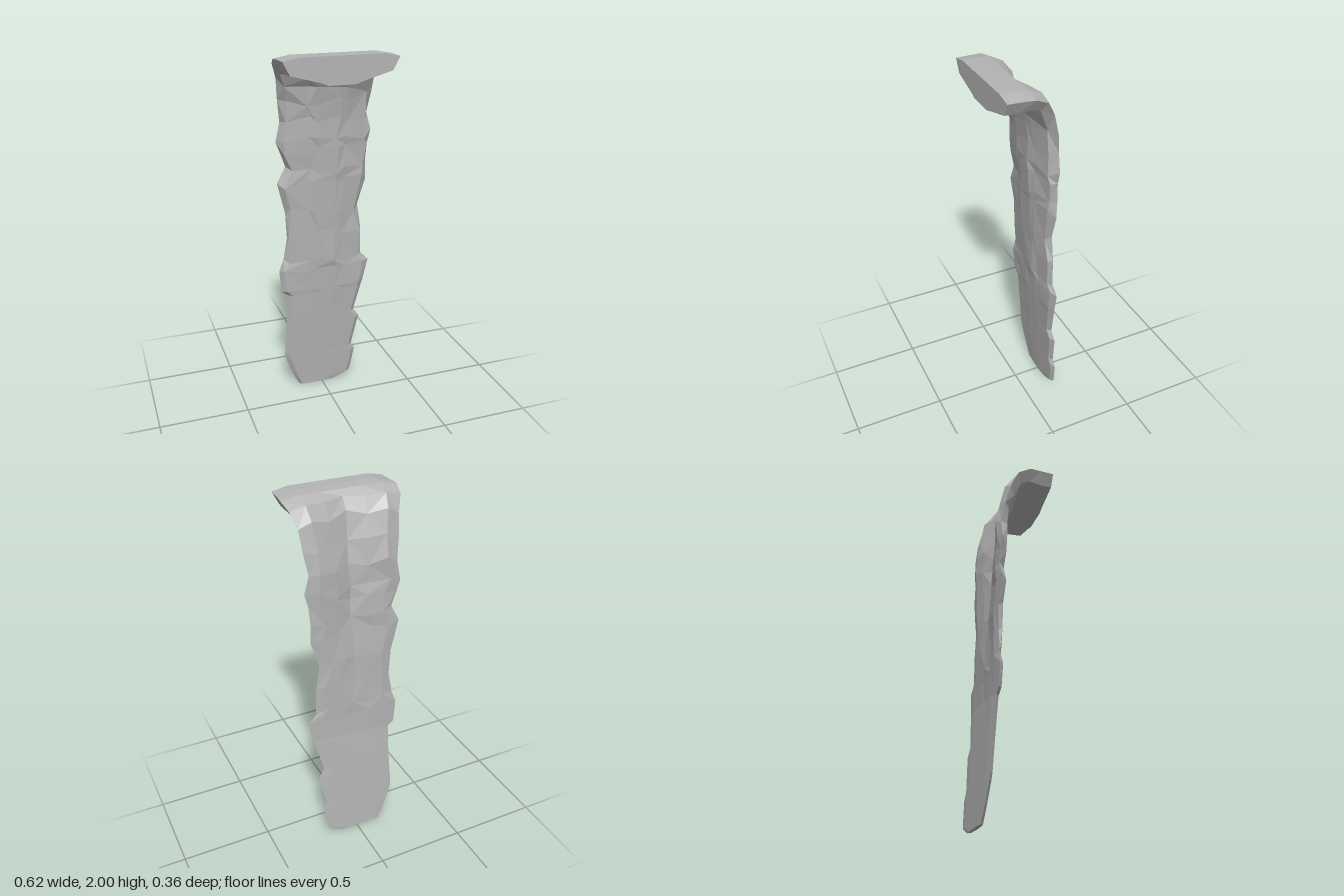
import * as THREE from 'three';

const { lerp, smoothstep, mapLinear } = THREE.MathUtils;

// Bend, from the cut end to the top of the drop: [frontY, frontZ, backY, backZ, halfWidth]
const BEND = [
  [1.86, 0.18, 2.0, 0.18, 0.298],
  [1.855, 0.12, 2.0, 0.1, 0.302],
  [1.87, 0.05, 1.995, 0.04, 0.308],
  [1.86, 0.015, 1.965, -0.03, 0.295],
  [1.81, -0.01, 1.89, -0.075, 0.272],
  [1.74, -0.025, 1.77, -0.105, 0.258],
];

// Ragged outline of the drop: [y, leftEdgeX, rightEdgeX]
const DROP = [
  [1.65, -0.245, 0.25], [1.54, -0.27, 0.255], [1.48, -0.245, 0.25],
  [1.37, -0.225, 0.23], [1.3, -0.257, 0.23], [1.13, -0.22, 0.19],
  [1.0, -0.225, 0.225], [0.85, -0.232, 0.225], [0.79, -0.268, 0.267],
  [0.66, -0.25, 0.24], [0.63, -0.215, 0.23], [0.47, -0.218, 0.19],
  [0.42, -0.22, 0.225], [0.23, -0.23, 0.185], [0.19, -0.222, 0.207],
  [0.09, -0.185, 0.19], [0.035, -0.16, 0.175], [0.0, -0.14, 0.09],
];

// Around one section: [side fraction, front 0 to back 1, groove share]
const SECTION = [
  [-1, 0.88, 0], [-0.88, 0.4, 0], [-0.4, 0.13, 0], [-0.24, 0, 0],
  [0.24, 0, 0], [0.42, 0.13, 0], [0.88, 0.4, 0], [1, 0.88, 0],
  [0.72, 1, 0], [0.36, 1, 0.35], [0, 1, 1], [-0.36, 1, 0.4], [-0.72, 1, 0],
];

function seeded(seed) {
  return () => {
    seed = (seed * 16807) % 2147483647;
    return (seed / 2147483647) * 2 - 1;
  };
}

// The drop leans back below its middle and thins toward the tip
function dropStation([y, left, right]) {
  const frontZ = y > 0.85 ? mapLinear(y, 0.85, 1.65, -0.08, -0.035) : mapLinear(y, 0, 0.85, -0.154, -0.08);
  const backZ = y > 0.7 ? -0.125 : mapLinear(y, 0, 0.7, -0.178, -0.125);
  return { frontY: y, frontZ, backY: y, backZ, left, right };
}

function makeRings() {
  const rand = seeded(77);
  const stations = [
    ...BEND.map(([frontY, frontZ, backY, backZ, w]) => ({ frontY, frontZ, backY, backZ, left: -w, right: w })),
    ...DROP.map(dropStation),
  ];
  return stations.map(({ frontY, frontZ, backY, backZ, left, right }) => {
    // The back groove fades downward; the surface is roughest on the upper drop
    const groove = 0.06 * smoothstep(frontY, 0.75, 1.75) * smoothstep(-backZ, -0.05, 0.06);
    const rough = smoothstep(frontY, 0.5, 0.95) * smoothstep(-backZ, 0, 0.12);
    return SECTION.map(([side, d, share]) => {
      const depth = frontY < 0.7 && d < 0.5 ? d * 0.5 : d;
      return new THREE.Vector3(
        lerp(left, right, (side + 1) / 2) + rand() * 0.012 * rough,
        lerp(frontY, backY, depth) + rand() * 0.025 * rough,
        lerp(frontZ, backZ, depth) + share * groove + rand() * 0.005 * rough,
      );
    });
  });
}

function loftStrip() {
  const rings = makeRings();
  const n = SECTION.length;
  const pos = [];
  const tri = (...corners) => corners.forEach((p) => pos.push(p.x, p.y, p.z));

  // Skin between neighbouring sections, with alternating diagonals
  for (let i = 0; i < rings.length - 1; i++) {
    for (let j = 0; j < n; j++) {
      const k = (j + 1) % n;
      const a = rings[i][j], b = rings[i][k], c = rings[i + 1][k], d = rings[i + 1][j];
      if ((i + j) % 2) { tri(a, d, c); tri(a, c, b); }
      else { tri(a, d, b); tri(b, d, c); }
    }
  }

  // Flat cut end and tip
  [rings[0], rings.at(-1).toReversed()].forEach((ring) => {
    const mid = ring.reduce((sum, p) => sum.add(p), new THREE.Vector3()).divideScalar(n);
    ring.forEach((p, j) => tri(mid, p, ring[(j + 1) % n]));
  });

  const geo = new THREE.BufferGeometry();
  geo.setAttribute('position', new THREE.Float32BufferAttribute(pos, 3));
  geo.computeVertexNormals();
  return geo;
}

export function createModel() {
  const group = new THREE.Group();
  group.name = 'hangingStrip';
  const grey = new THREE.MeshStandardMaterial({ color: 0xb4b4b4, flatShading: true, side: THREE.DoubleSide });
  grey.name = 'plain grey';
  const strip = new THREE.Mesh(loftStrip(), grey);
  strip.name = 'bentStrip';
  group.add(strip);
  return group;
}
